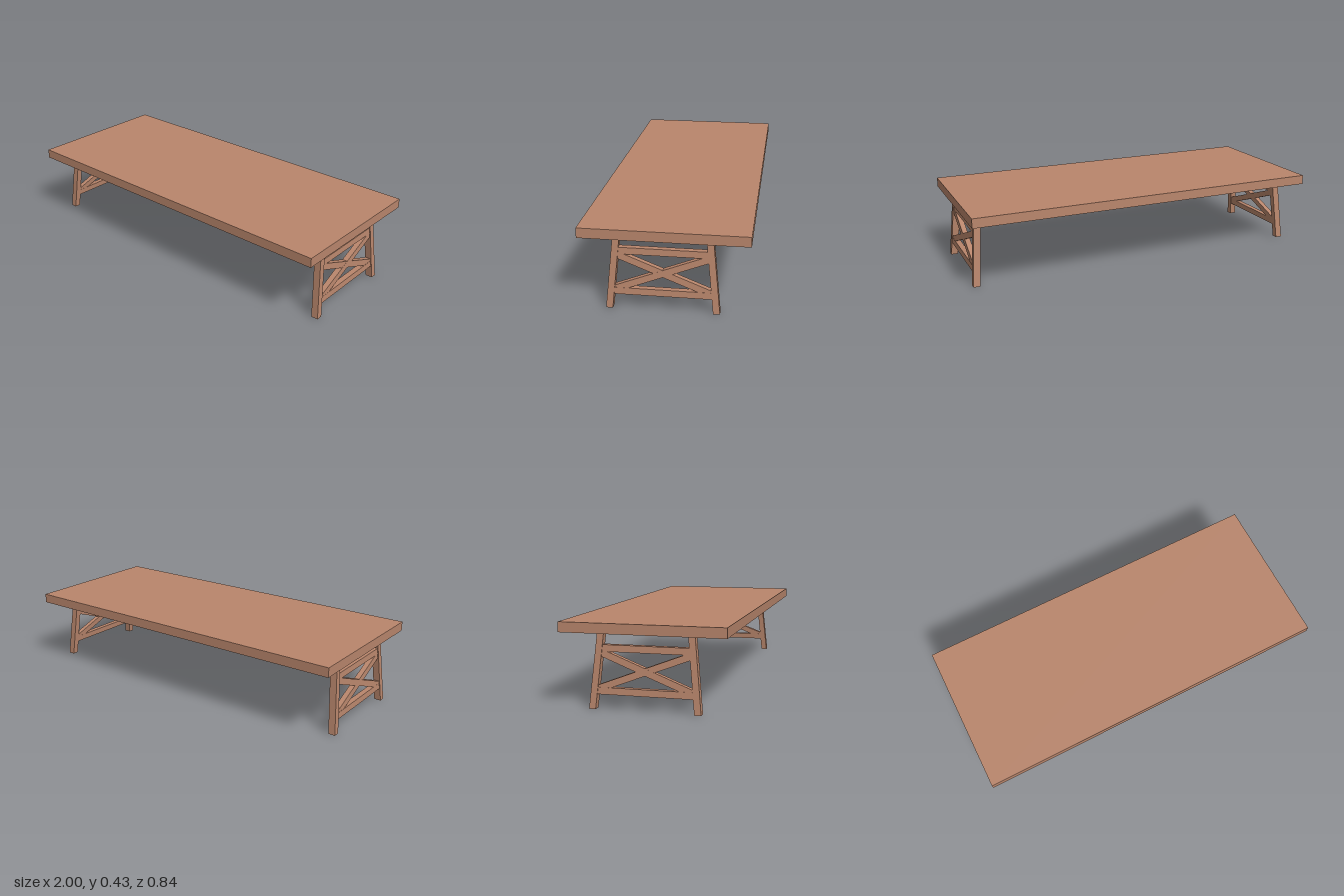
import * as THREE from 'three';

const TOP_Y = 0.378, MID_Z = 0.009;
const wood = new THREE.MeshStandardMaterial({ color: 0xb9866c, flatShading: true });

function addMesh(parent, name, geometry) {
  const mesh = new THREE.Mesh(geometry, wood);
  mesh.name = name;
  parent.add(mesh);
  return mesh;
}

// Splay outwards towards the floor: x shifts with height
function splay(geometry, side) {
  const p = geometry.attributes.position;
  for (let i = 0; i < p.count; i++) {
    p.setX(i, p.getX(i) + side * (0.93 + (TOP_Y - p.getY(i)) * 0.08));
  }
  geometry.computeVertexNormals();
  return geometry;
}

// Leg with level ends, leaning from zTop to zBottom
function legGeometry(zTop, zBottom) {
  const g = new THREE.BoxGeometry(0.038, TOP_Y, 0.034);
  g.translate(0, TOP_Y / 2, 0);
  const p = g.attributes.position;
  for (let i = 0; i < p.count; i++) {
    p.setZ(i, p.getZ(i) + THREE.MathUtils.lerp(zBottom, zTop, p.getY(i) / TOP_Y));
  }
  return g;
}

// Straight bar in the frame plane, centred at height y
function barGeometry(length, height, depth, y, angle = 0) {
  return new THREE.BoxGeometry(depth, height, length).rotateX(angle).translate(0, y, MID_Z);
}

function createTrestle(side) {
  const trestle = new THREE.Group();
  trestle.name = side > 0 ? 'leftTrestle' : 'rightTrestle';
  for (const s of [1, -1]) {
    const end = s > 0 ? 'front' : 'back';
    addMesh(trestle, `${end}Leg`, splay(legGeometry(MID_Z + s * 0.23, MID_Z + s * 0.267), side));
    // Crossed diagonal braces
    addMesh(trestle, `${end}Brace`, splay(barGeometry(0.515, 0.034, 0.029 + s * 0.0005, 0.192, s * 0.364), side));
  }
  // Horizontal rails between the legs
  addMesh(trestle, 'upperRail', splay(barGeometry(0.47, 0.034, 0.031, 0.301), side));
  addMesh(trestle, 'lowerRail', splay(barGeometry(0.51, 0.034, 0.031, 0.091), side));
  return trestle;
}

export function createModel() {
  const table = new THREE.Group();
  table.name = 'table';
  addMesh(table, 'tabletop', new THREE.BoxGeometry(2, 0.052, 0.843)).position.y = TOP_Y + 0.026;
  for (const side of [1, -1]) table.add(createTrestle(side));
  return table;
}
